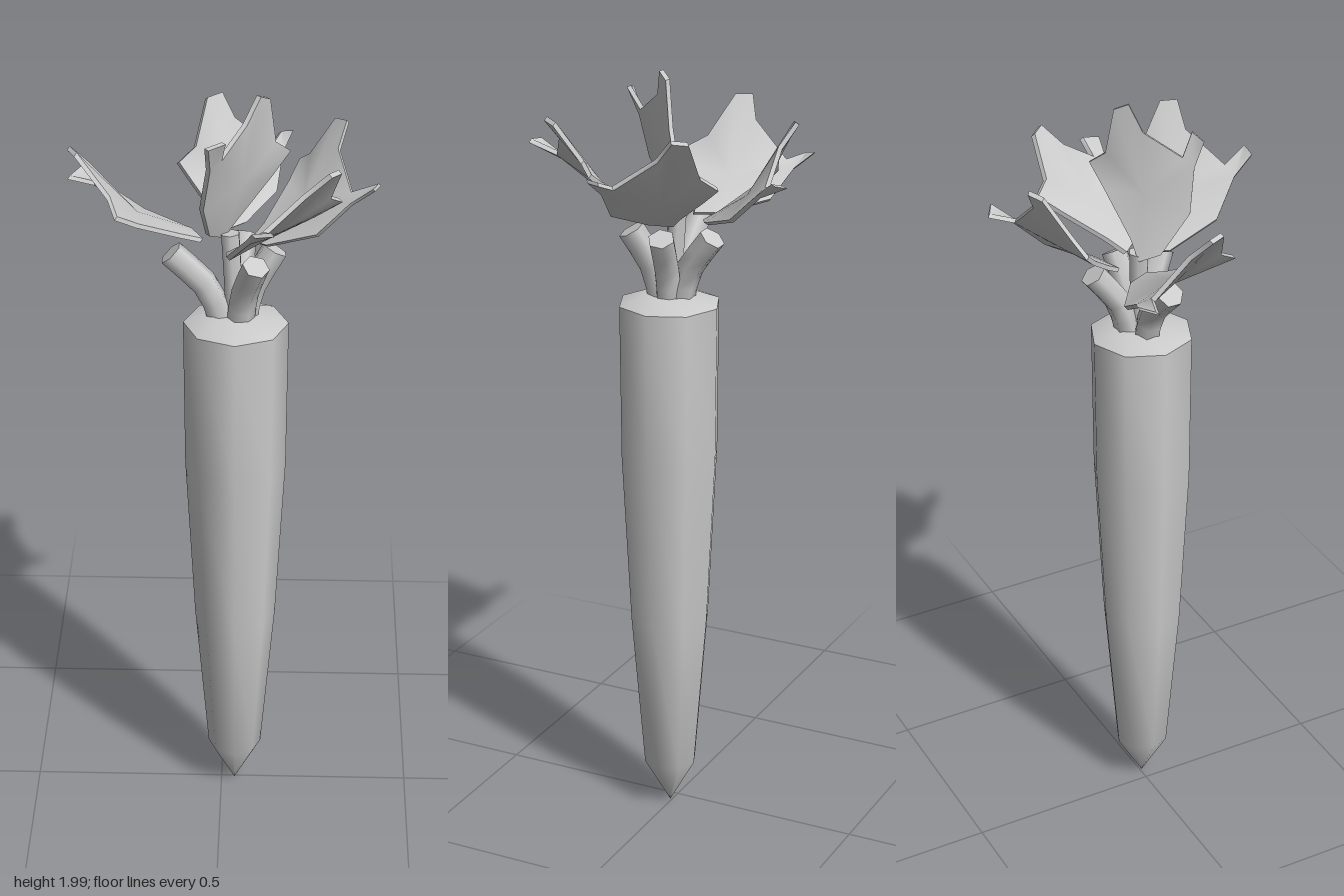
import * as THREE from 'three';
import { toCreasedNormals } from 'three/addons/utils/BufferGeometryUtils.js';

const V = (p) => new THREE.Vector3(...p);
const material = new THREE.MeshStandardMaterial({ color: 0xcccccc, side: THREE.DoubleSide });

// Leaf outline relative to its base, counter-clockwise from above
const OUTLINE = [
  [0, 0, 0], [-0.03, 0.0, -0.06], [-0.15, 0.015, -0.14],
  [-0.25, 0.075, -0.16], [-0.265, 0.09, -0.13], // root of the side prong
  [-0.275, 0.18, -0.04], [-0.32, 0.235, -0.01], [-0.30, 0.235, 0.03],
  [-0.22, 0.14, 0.07], [-0.20, 0.11, 0.12], [-0.15, 0.075, 0.085], [-0.05, 0.02, 0.02],
];
const PRONG = [[-0.31, 0.105, -0.19], [-0.335, 0.095, -0.155]];
const CENTRE = [-0.16, 0.06, -0.02];
// Prong, tip and side corner of the template leaf
const KEYS = [[-0.32, 0.10, -0.175], [-0.31, 0.24, 0], [-0.20, 0.11, 0.12]];

// Thin leaf, the template being fitted to its own prong, tip and corner
function leafGeometry({ base, keys, thick = 0.012 }) {
  const origin = V(base);
  const ends = keys.map((k) => V(k).sub(origin));
  const fit = new THREE.Matrix4().makeBasis(...ends)
    .multiply(new THREE.Matrix4().makeBasis(...KEYS.map(V)).invert());
  const offset = ends[0].clone().cross(ends[1]).setLength(thick / 2);
  const n = OUTLINE.length;
  const points = [...OUTLINE, ...PRONG, CENTRE].map((p) => V(p).applyMatrix4(fit).add(origin));
  const top = points.map((p) => p.clone().add(offset));
  const under = points.map((p) => p.clone().sub(offset));

  const faces = [[3, n, n + 1], [3, n + 1, 4]];
  for (let i = 0; i < n; i++) faces.push([n + 2, i, (i + 1) % n]);
  const rim = [0, 1, 2, 3, n, n + 1, 4, 5, 6, 7, 8, 9, 10, 11];

  const corners = [];
  for (const [a, b, c] of faces) {
    corners.push(top[a], top[b], top[c], under[a], under[c], under[b]);
  }
  rim.forEach((a, i) => {
    const b = rim[(i + 1) % rim.length];
    corners.push(under[a], under[b], top[b], under[a], top[b], top[a]);
  });
  const geometry = new THREE.BufferGeometry().setFromPoints(corners);
  return toCreasedNormals(geometry, 0.9);
}

// Each leaf has its base, three outer corners and the end of its stem
const LEAVES = [
  { name: 'rightLeaf', base: [-0.05, 1.61, -0.02], stem: [-0.125, 1.585, 0.0],
    keys: [[-0.37, 1.71, -0.195], [-0.36, 1.85, -0.02], [-0.25, 1.72, 0.10]] },
  { name: 'backLeaf', base: [0, 1.61, -0.075], stem: [0.05, 1.585, -0.12],
    keys: [[0.155, 1.765, -0.34], [-0.02, 1.88, -0.305], [-0.115, 1.73, -0.215]] },
  { name: 'leftLeaf', base: [0.07, 1.61, -0.02], stem: [0.13, 1.59, -0.02],
    keys: [[0.37, 1.78, 0.04], [0.29, 1.88, -0.14], [0.19, 1.75, -0.20]] },
  { name: 'frontLeaf', base: [0.05, 1.61, 0.02], stem: [0.085, 1.59, 0.085],
    keys: [[0.10, 1.79, 0.34], [0.26, 1.89, 0.21], [0.285, 1.77, 0.09]] },
  { name: 'middleLeaf', base: [0.0, 1.62, -0.02], stem: [0.02, 1.635, -0.01], stemRadius: 0.025,
    keys: [[-0.015, 1.92, 0.135], [0.09, 1.99, -0.01], [0.16, 1.83, -0.07]] },
];

// Stem: six-sided tube bending outward from the crown, with a flat cut end
function stem({ stem: end, stemRadius = 0.034 }) {
  const group = new THREE.Group();
  const tip = V(end);
  const root = new THREE.Vector3(0.035 + (tip.x - 0.035) * 0.22, 1.40, tip.z * 0.22);
  const bend = new THREE.Vector3(0.035 + (tip.x - 0.035) * 0.42, 1.49, tip.z * 0.42);
  const curve = new THREE.CatmullRomCurve3([root, bend, tip]);
  const tube = new THREE.Mesh(new THREE.TubeGeometry(curve, 4, stemRadius, 6), material);
  const cap = new THREE.Mesh(new THREE.CircleGeometry(stemRadius, 6), material);
  const frames = curve.computeFrenetFrames(4);
  cap.applyMatrix4(new THREE.Matrix4()
    .makeBasis(frames.normals[4], frames.binormals[4], frames.tangents[4]).setPosition(tip));
  tube.name = 'stemTube';
  cap.name = 'stemEnd';
  group.add(tube, cap);
  return group;
}

export function createModel() {
  const model = new THREE.Group();
  model.name = 'carrot';

  // Tapering eight-sided root with a pointed end and a bevelled crown
  const profile = [[0, 0.005], [0.07, 0.13], [0.105, 0.55], [0.128, 1.0], [0.131, 1.40], [0.065, 1.425], [0, 1.42]]
    .map(([r, y]) => new THREE.Vector2(r, y));
  const root = new THREE.Mesh(toCreasedNormals(new THREE.LatheGeometry(profile, 8), 0.9), material);
  root.name = 'root';
  root.position.set(0.035, 0, 0.005);
  model.add(root);

  // Crown of stems and leaves
  for (const spec of LEAVES) {
    const leaf = new THREE.Mesh(leafGeometry(spec), material);
    leaf.name = spec.name;
    const stalk = stem(spec);
    stalk.name = spec.name.replace('Leaf', 'Stem');
    model.add(leaf, stalk);
  }
  return model;
}
